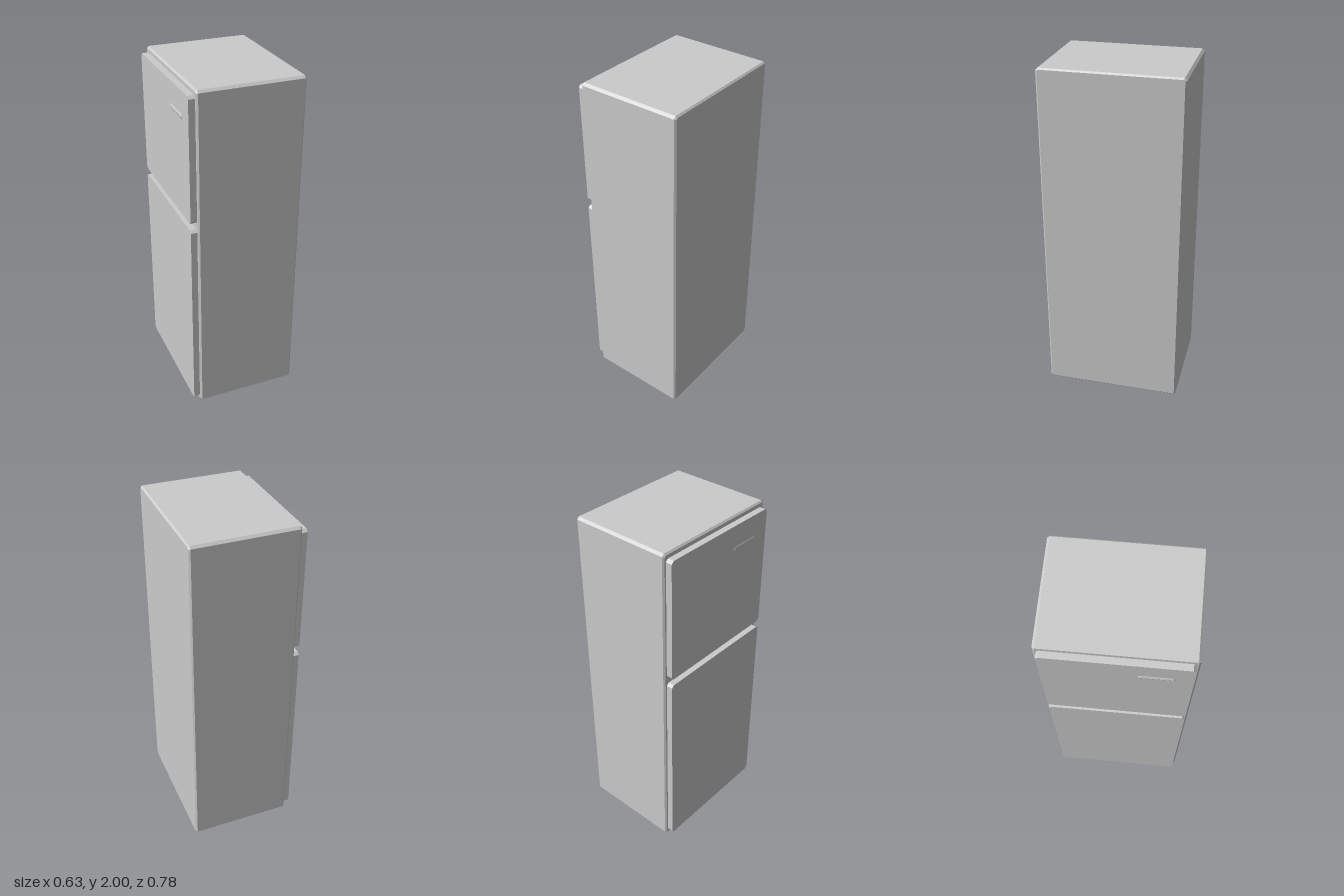
import * as THREE from 'three';

const material = new THREE.MeshStandardMaterial({ color: 0xcccccc, flatShading: true });

function addMesh(parent, name, geometry, x, y, z) {
  const mesh = new THREE.Mesh(geometry, material);
  mesh.name = name;
  mesh.position.set(x, y, z);
  parent.add(mesh);
  return mesh;
}

// Slab with cut corners, centred on the origin, with its thickness along x
function slab(thickness, height, width, corner, bevel) {
  const w = width / 2 - bevel, h = height / 2 - bevel, c = corner;
  const shape = new THREE.Shape([
    [-w + c, -h], [w - c, -h], [w, -h + c], [w, h - c],
    [w - c, h], [-w + c, h], [-w, h - c], [-w, -h + c],
  ].map(([x, y]) => new THREE.Vector2(x, y)));
  const geometry = new THREE.ExtrudeGeometry(shape, {
    depth: thickness - 2 * bevel,
    bevelEnabled: bevel > 0,
    bevelSize: bevel,
    bevelThickness: bevel,
    bevelSegments: 1,
  });
  return geometry.rotateY(-Math.PI / 2).center();
}

// Faceted rod along y with chamfered ends
function rod(radius, length, chamfer, sides) {
  const h = length / 2;
  const profile = [[0, -h], [radius - chamfer, -h], [radius, -h + chamfer],
    [radius, h - chamfer], [radius - chamfer, h], [0, h]];
  return new THREE.LatheGeometry(profile.map(([r, y]) => new THREE.Vector2(r, y)), sides);
}

export function createModel() {
  const fridge = new THREE.Group();
  fridge.name = 'refrigerator';

  // Cabinet with chamfered edges
  addMesh(fridge, 'cabinet', slab(0.59, 1.945, 0.78, 0.008, 0.009), 0.02, 1.0275, 0);

  // Freezer door above, main door below, both on the -x side
  for (const [name, bottom, top] of [['freezerDoor', 1.27, 1.97], ['mainDoor', 0.08, 1.23]]) {
    addMesh(fridge, name, slab(0.036, top - bottom, 0.744, 0.014, 0),
      -0.293, (top + bottom) / 2, 0);
  }

  // Handle bar half sunk into the freezer door
  addMesh(fridge, 'handle', rod(0.025, 0.19, 0.012, 12).rotateX(Math.PI / 2), -0.291, 1.835, 0.193);

  // Four rollers lying along x
  for (const x of [-0.185, 0.127]) {
    for (const z of [0.235, -0.255]) {
      addMesh(fridge, 'roller', rod(0.034, 0.106, 0.004, 12).rotateZ(Math.PI / 2), x, 0.034, z);
    }
  }
  return fridge;
}
